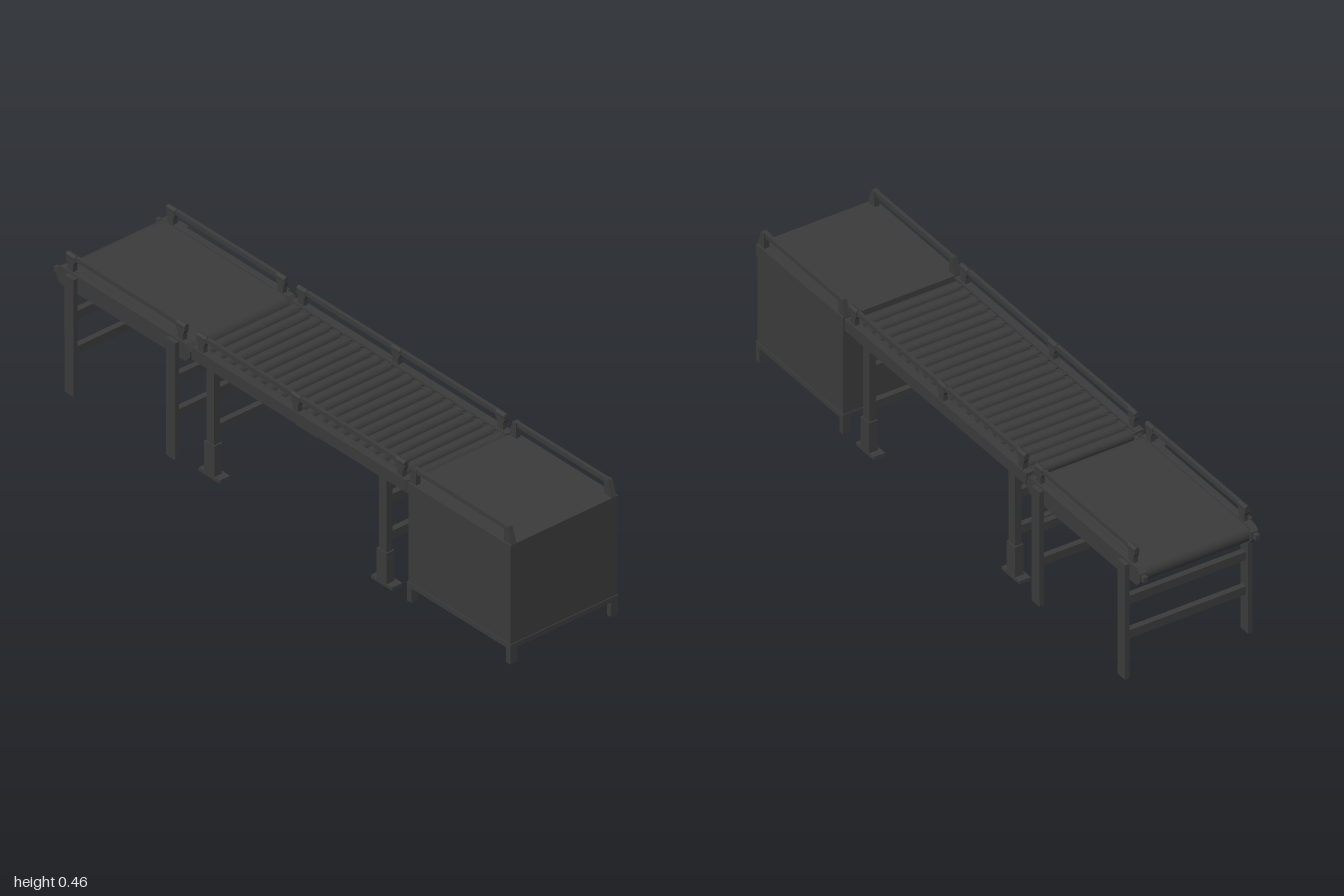
import * as THREE from 'three';

const dark = new THREE.MeshStandardMaterial({ color: 0x3a3a3a });

function add(parent, name, geometry, x = 0, y = 0, z = 0) {
  const mesh = new THREE.Mesh(geometry, dark);
  mesh.name = name;
  mesh.position.set(x, y, z);
  parent.add(mesh);
  return mesh;
}

// Box given by its lower and upper limits on each axis
function box(parent, name, x0, x1, y0, y1, z0, z1) {
  return add(parent, name, new THREE.BoxGeometry(Math.abs(x1 - x0), y1 - y0, z1 - z0),
    (x0 + x1) / 2, (y0 + y1) / 2, (z0 + z1) / 2);
}

// Cylinder lying across the conveyor
function roller(parent, name, radius, length, y, z, x = 0) {
  add(parent, name, new THREE.CylinderGeometry(radius, radius, length, 20).rotateZ(Math.PI / 2), x, y, z);
}

// Profile of [z, y] points extruded sideways, centred on x
function sidePlate(parent, name, points, thickness, x) {
  const shape = new THREE.Shape(points.map(([z, y]) => new THREE.Vector2(-z, y)));
  const geometry = new THREE.ExtrudeGeometry(shape, { depth: thickness, bevelEnabled: false });
  geometry.translate(0, 0, -thickness / 2).rotateY(Math.PI / 2);
  add(parent, name, geometry, x);
}

// Guard bar running along the conveyor
function guardRail(parent, x, z0, z1) {
  box(parent, 'guardRail', x - 0.006, x + 0.006, 0.441, 0.456, z0, z1);
}

// Flared bracket with a rounded cap that holds the guard bar
function railPost(parent, x, z) {
  sidePlate(parent, 'railPost', [[z - 0.012, 0.404], [z + 0.012, 0.404], [z + 0.012, 0.425],
    [z + 0.019, 0.437], [z + 0.019, 0.452], [z - 0.019, 0.452], [z - 0.019, 0.437], [z - 0.012, 0.425]], 0.016, x);
  add(parent, 'railPostCap', new THREE.CylinderGeometry(0.009, 0.009, 0.038, 12).rotateX(Math.PI / 2), x, 0.45, z);
}

function cabinet() {
  const g = new THREE.Group();
  g.name = 'cabinet';
  box(g, 'cabinetBody', -0.202, 0.202, 0.062, 0.366, 0.553, 0.997);
  box(g, 'cabinetBase', -0.205, 0.205, 0.05, 0.066, 0.55, 1);
  box(g, 'cabinetTop', -0.205, 0.205, 0.366, 0.404, 0.55, 1);
  for (const s of [-1, 1]) {
    for (const z of [0.55, 0.982]) box(g, 'cabinetFoot', s * 0.178, s * 0.205, 0, 0.052, z, z + 0.018);
    // Sloped end brackets
    sidePlate(g, 'railBracket', [[1, 0.403], [0.982, 0.455], [0.966, 0.455], [0.966, 0.403]], 0.018, s * 0.19);
    sidePlate(g, 'railBracket', [[0.55, 0.403], [0.565, 0.455], [0.581, 0.455], [0.581, 0.403]], 0.018, s * 0.19);
    guardRail(g, s * 0.19, 0.567, 0.98);
  }
  return g;
}

function rollerConveyor() {
  const g = new THREE.Group();
  g.name = 'rollerConveyor';
  const count = 21;
  for (let i = 0; i < count; i++) {
    const z = -0.373 + (i / (count - 1)) * 0.895;
    roller(g, 'roller', 0.0185, 0.344, 0.384, z);
    roller(g, 'rollerAxle', 0.005, 0.38, 0.384, z);
  }
  for (const s of [-1, 1]) {
    // Channel-shaped side frame
    box(g, 'sideFrame', s * 0.195, s * 0.203, 0.364, 0.404, -0.395, 0.545);
    box(g, 'sideFrameTopLip', s * 0.176, s * 0.203, 0.398, 0.404, -0.395, 0.545);
    box(g, 'sideFrameBottomLip', s * 0.176, s * 0.203, 0.364, 0.37, -0.395, 0.545);
    guardRail(g, s * 0.19, -0.378, 0.53);
    for (const z of [0.51, 0.053, -0.36]) railPost(g, s * 0.19, z);
    // Adjustable legs with a sleeve and foot plate
    for (const z of [0.437, -0.316]) {
      box(g, 'leg', s * 0.178, s * 0.2, 0.1, 0.366, z - 0.017, z + 0.017);
      box(g, 'legSleeve', s * 0.174, s * 0.204, 0.01, 0.115, z - 0.022, z + 0.022);
      box(g, 'footPlate', s * 0.165, s * 0.204, 0, 0.011, z - 0.046, z + 0.046);
    }
  }
  for (const z of [0.437, -0.316])
    for (const y of [0.16, 0.285]) box(g, 'crossbar', -0.18, 0.18, y - 0.014, y + 0.014, z - 0.01, z + 0.01);
  return g;
}

function beltConveyor() {
  const g = new THREE.Group();
  g.name = 'beltConveyor';
  // Belt wrapped round two end drums
  const drums = [-0.433, -0.952], y = 0.375, r = 0.028;
  for (const z of drums) {
    roller(g, 'endDrum', r, 0.356, y, z);
    roller(g, 'drumAxle', 0.009, 0.405, y, z);
  }
  box(g, 'belt', -0.178, 0.178, y - r, y + r, drums[1], drums[0]);
  for (const s of [-1, 1]) {
    sidePlate(g, 'sideFrame', [[-0.4, 0.366], [-0.4, 0.384], [-0.416, 0.404], [-0.968, 0.404], [-0.984, 0.39],
      [-0.984, 0.362], [-0.968, 0.345], [-0.42, 0.345]], 0.024, s * 0.192);
    box(g, 'beltTensioner', s * 0.186, s * 0.2, 0.368, 0.386, -1, -0.98);
    guardRail(g, s * 0.19, -0.948, -0.432);
    for (const z of [-0.45, -0.93]) railPost(g, s * 0.19, z);
    for (const z of [-0.468, -0.911]) box(g, 'leg', s * 0.204, s * 0.219, 0, 0.398, z - 0.02, z + 0.02);
  }
  for (const z of [-0.468, -0.911])
    for (const yBar of [0.145, 0.265]) box(g, 'crossbar', -0.206, 0.206, yBar - 0.014, yBar + 0.014, z - 0.01, z + 0.01);
  return g;
}

export function createModel() {
  const model = new THREE.Group();
  model.name = 'conveyorLine';
  model.add(cabinet(), rollerConveyor(), beltConveyor());
  return model;
}
